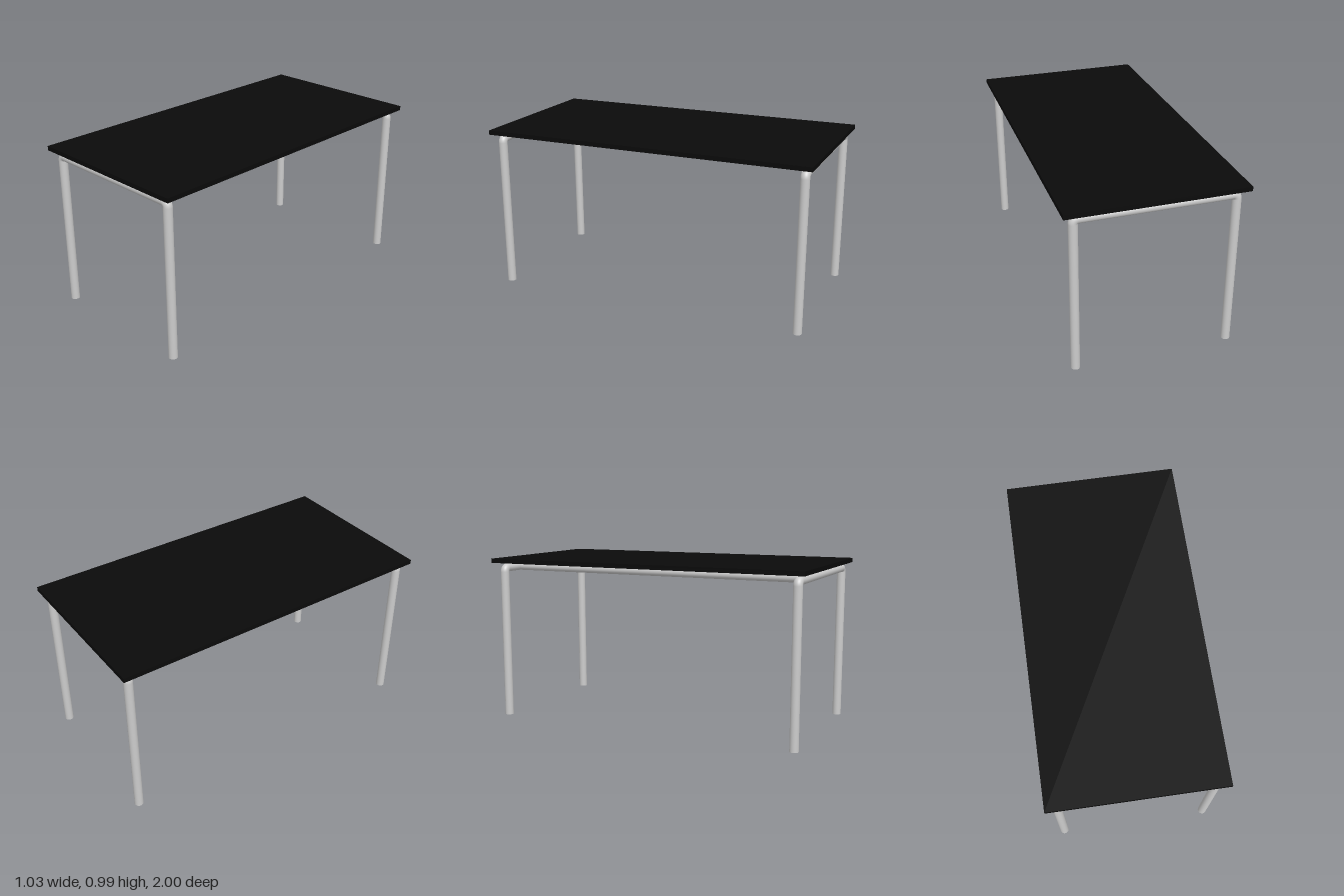
import * as THREE from 'three';

const R = 0.026;          // tube radius, also the bend radius of the corners
const LEG_X = 0.45;       // leg axis
const FRAME_Z = 0.946;    // end frame axis
const BAR_Y = 0.936;      // height of the horizontal tubes
const RAIL_X = 0.29;      // long rail axis

const metal = new THREE.MeshStandardMaterial({ color: 0xcccccc });
const black = new THREE.MeshStandardMaterial({ color: 0x0a0a0a });

function add(parent, name, geometry, material, x, y, z) {
  const mesh = new THREE.Mesh(geometry, material);
  mesh.name = name;
  mesh.position.set(x, y, z);
  parent.add(mesh);
  return mesh;
}

const tube = (length) => new THREE.CylinderGeometry(R, R, length, 32);

// Inverted U of bent tube: two legs, two rounded corners and a crossbar
function endFrame(name, z) {
  const frame = new THREE.Group();
  frame.name = name;
  frame.position.z = z;
  const legHeight = BAR_Y - R;
  const innerX = LEG_X - R;
  for (const side of [1, -1]) {
    const label = side > 0 ? 'left' : 'right';
    add(frame, label + 'Leg', tube(legHeight), metal, side * LEG_X, legHeight / 2, 0);
    const bend = add(frame, label + 'Bend', new THREE.TorusGeometry(R, R, 32, 12, Math.PI / 2),
      metal, side * innerX, legHeight, 0);
    if (side < 0) bend.rotation.z = Math.PI / 2;
  }
  add(frame, 'crossbar', tube(2 * innerX), metal, 0, BAR_Y, 0).rotation.z = Math.PI / 2;
  return frame;
}

export function createModel() {
  const table = new THREE.Group();
  table.name = 'table';

  // Thin slab floating just above the frame
  add(table, 'tabletop', new THREE.BoxGeometry(1.026, 0.026, 2), black, 0, 0.981, 0);

  table.add(endFrame('frontFrame', FRAME_Z), endFrame('backFrame', -FRAME_Z));

  // Long rails joining the two end frames
  for (const side of [1, -1]) {
    const name = side > 0 ? 'leftRail' : 'rightRail';
    add(table, name, tube(2 * FRAME_Z), metal, side * RAIL_X, BAR_Y, 0).rotation.x = Math.PI / 2;
  }
  return table;
}
